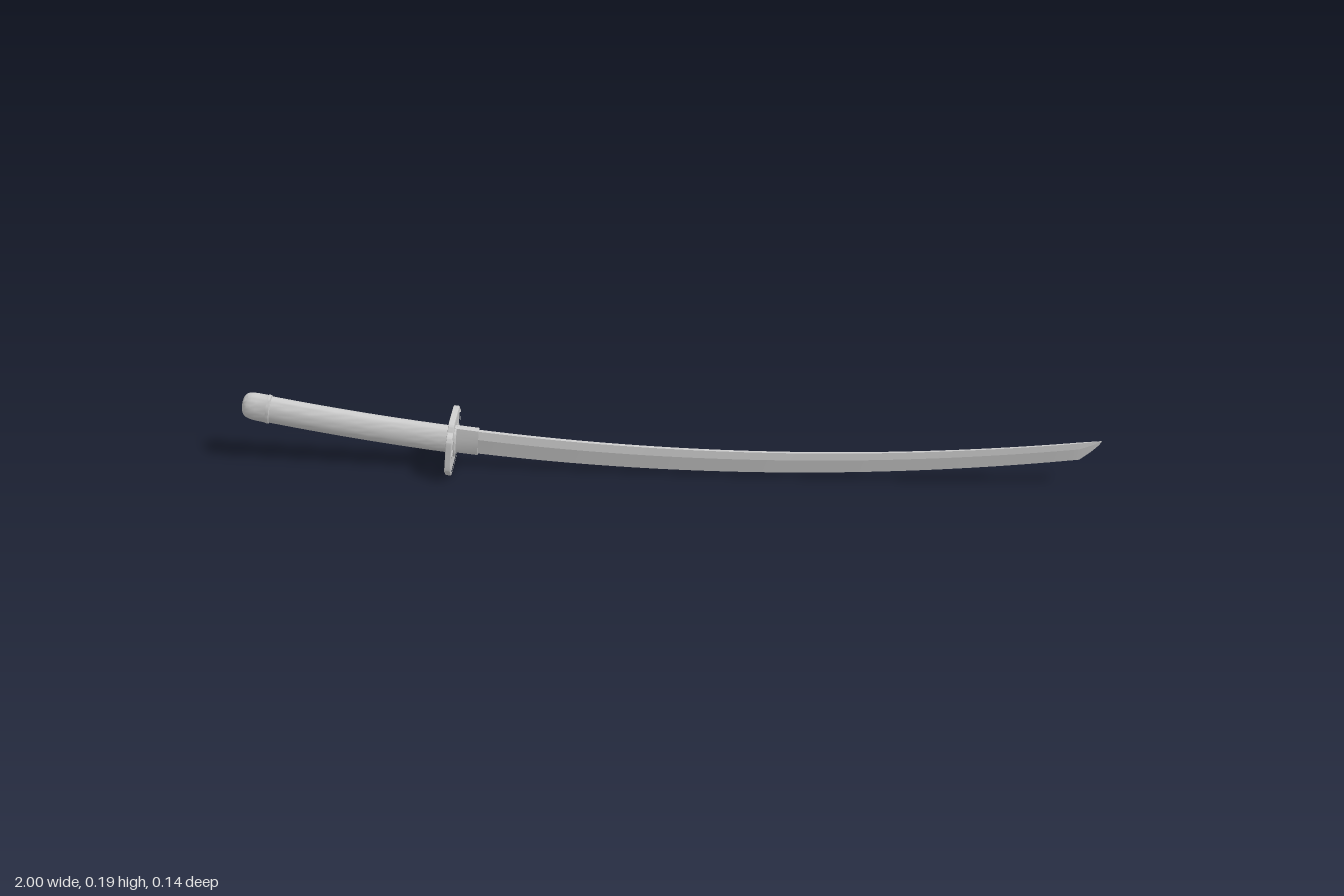
import * as THREE from 'three';
import { toCreasedNormals } from 'three/addons/utils/BufferGeometryUtils.js';

const material = new THREE.MeshStandardMaterial({ color: 0xcccccc });

// Curved back line of the sword, shared by every part
const spine = (x) => 0.073 + 0.09 * (x - 0.17) ** 2;
const slope = (x) => 0.18 * (x - 0.17);

// Point at station x, raised by u along the local normal, with depth z
function place(x, u, z) {
  const s = slope(x), l = Math.hypot(1, s);
  return [x - (u * s) / l, spine(x) + u / l, z];
}

// Skin closed rings of [u, z] points along the spine
function loft(name, sections, crease) {
  const pos = [], idx = [], n = sections[0].ring.length;
  for (const { x, ring } of sections) for (const [u, z] of ring) pos.push(...place(x, u, z));
  for (let i = 0; i < sections.length - 1; i++) {
    for (let j = 0; j < n; j++) {
      const a = i * n + j, b = i * n + ((j + 1) % n);
      idx.push(a, b, a + n, b, b + n, a + n);
    }
  }
  const last = (sections.length - 1) * n;
  for (let j = 1; j < n - 1; j++) idx.push(0, j + 1, j, last, last + j, last + j + 1);
  const geo = new THREE.BufferGeometry();
  geo.setAttribute('position', new THREE.Float32BufferAttribute(pos, 3));
  geo.setIndex(idx);
  const mesh = new THREE.Mesh(toCreasedNormals(geo, crease), material);
  mesh.name = name;
  return mesh;
}

// Oval ring for the grip parts
function oval(scale, n = 32) {
  return Array.from({ length: n }, (_, i) => {
    const t = (i / n) * Math.PI * 2;
    return [-0.034 + 0.036 * scale * Math.cos(t), 0.0215 * scale * Math.sin(t)];
  });
}

// Blade: flat back, ridge on each side, single cutting edge
function makeBlade() {
  const sections = [], tipStart = 0.948;
  const add = (x, depth, w) => sections.push({
    x,
    ring: [[0, w * 0.6], [-depth * 0.33, w], [-depth, 0], [-depth * 0.33, -w], [0, -w * 0.6]],
  });
  for (let i = 0; i <= 48; i++) {
    const t = i / 48;
    add(-0.51 + t * (tipStart + 0.51), 0.066 - 0.019 * t ** 1.3, 0.0075 - 0.004 * t);
  }
  for (let i = 1; i <= 10; i++) {
    const t = i / 10, k = Math.max((1 - t) ** 0.75, 0.005);
    add(tipStart + t * (1 - tipStart), 0.047 * k, 0.0035 * k);
  }
  return loft('blade', sections, 0.1);
}

// Collar clasping the blade in front of the guard
function makeCollar() {
  const ring = [[0.003, 0.008], [-0.025, 0.0095], [-0.058, 0.006], [-0.069, 0.002],
    [-0.069, -0.002], [-0.058, -0.006], [-0.025, -0.0095], [0.003, -0.008]];
  return loft('bladeCollar', [-0.51, -0.478, -0.445].map((x) => ({ x, ring })), 0.3);
}

function makeGrip() {
  const sections = [];
  for (let i = 0; i <= 16; i++) sections.push({ x: -0.945 + (i / 16) * 0.437, ring: oval(0.98 + 0.03 * (i / 16)) });
  return loft('grip', sections, 0.6);
}

// Rounded end cap with a small raised lip
function makePommel() {
  const profile = [[-0.9935, 0.02], [-0.993, 0.35], [-0.991, 0.6], [-0.987, 0.8], [-0.981, 0.92],
    [-0.972, 0.99], [-0.96, 1.02], [-0.938, 1.03], [-0.936, 1.07], [-0.93, 1.07], [-0.928, 0.97]];
  return loft('pommel', profile.map(([x, s]) => ({ x, ring: oval(s) })), 0.7);
}

// Four-lobed outline: one quarter, mirrored around
function lobedOutline(scale) {
  const quarter = new THREE.SplineCurve([
    [0, 0.076], [0.03, 0.076], [0.042, 0.072], [0.048, 0.063], [0.051, 0.056],
    [0.06, 0.053], [0.067, 0.046], [0.07, 0.034], [0.07, 0],
  ].map(([a, b]) => new THREE.Vector2(a * scale, b * scale))).getPoints(32);
  const back = [...quarter].reverse();
  const flip = (list, sx, sy) => list.map((p) => new THREE.Vector2(p.x * sx, p.y * sy));
  return [...quarter.slice(0, -1), ...flip(back, 1, -1).slice(0, -1),
    ...flip(quarter, -1, -1).slice(0, -1), ...flip(back, -1, 1).slice(0, -1)];
}

function ellipse(cx, rx, ry) {
  return new THREE.Path().absellipse(cx, 0, rx, ry, 0, Math.PI * 2).getPoints(32).slice(0, -1);
}

// Flat plate centred on its own plane, facing along x
function plate(name, outline, holes, depth, bevel) {
  const shape = new THREE.Shape(outline);
  holes.forEach((h) => shape.holes.push(new THREE.Path(h)));
  const geo = new THREE.ExtrudeGeometry(shape, {
    depth: depth - 2 * bevel, bevelEnabled: bevel > 0, bevelThickness: bevel,
    bevelSize: bevel, bevelOffset: -bevel, bevelSegments: 2,
  });
  geo.translate(0, 0, -depth / 2 + bevel);
  geo.rotateY(Math.PI / 2);
  const mesh = new THREE.Mesh(toCreasedNormals(geo, 0.6), material);
  mesh.name = name;
  return mesh;
}

// Guard: lobed plate with raised rim, two side openings and a centre washer
function makeGuard() {
  const guard = new THREE.Group();
  guard.name = 'guard';
  const openings = [-1, 1].map((s) => ellipse(s * 0.036, 0.0125, 0.019));
  guard.add(plate('guardPlate', lobedOutline(0.97), openings, 0.009, 0));
  guard.add(plate('guardRim', lobedOutline(1), [lobedOutline(0.92)], 0.014, 0.002));
  [-1, 1].forEach((s, i) => {
    guard.add(plate('openingRim', ellipse(s * 0.036, 0.0165, 0.0235), [openings[i]], 0.011, 0));
  });
  guard.add(plate('washer', ellipse(0, 0.026, 0.042), [], 0.018, 0.001));
  guard.position.set(-0.51, 0.077, 0);
  guard.rotation.z = Math.atan(slope(-0.51));
  return guard;
}

export function createModel() {
  const model = new THREE.Group();
  model.name = 'curvedSword';
  model.add(makeBlade(), makeCollar(), makeGuard(), makeGrip(), makePommel());
  return model;
}
